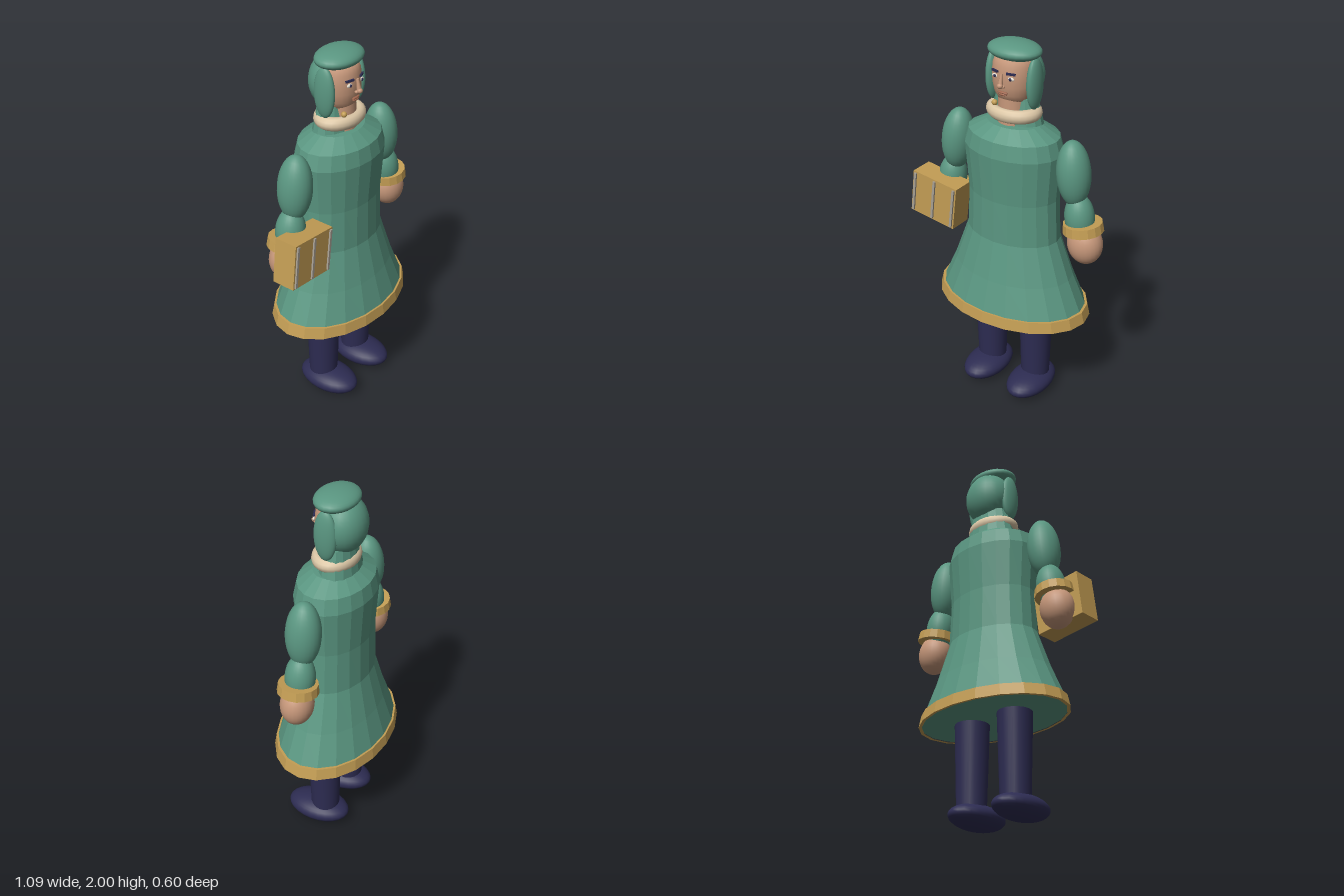
import * as THREE from 'three';

export function createModel() {
  const colours = {
    teal: 0x5a9681, gold: 0xc39d54, skin: 0xc6977a, cream: 0xdcc7a6,
    navy: 0x2d2c52, lip: 0xa0674f, white: 0xe4ddd0, strap: 0xa8a094,
  };
  const mat = {};
  for (const [name, hex] of Object.entries(colours)) {
    mat[name] = new THREE.MeshStandardMaterial({ color: hex });
    mat[name].name = name;
  }

  const model = new THREE.Group();
  model.name = 'figure';
  const body = new THREE.Group();
  body.name = 'body';
  body.position.x = 0.02;
  model.add(body);

  const add = (name, geo, colour, x = 0, y = 0, z = 0, parent = body) => {
    const mesh = new THREE.Mesh(geo, mat[colour]);
    mesh.name = name;
    mesh.position.set(x, y, z);
    parent.add(mesh);
    return mesh;
  };
  const ball = (name, colour, r, p, parent = body, seg = 24) =>
    add(name, new THREE.SphereGeometry(1, seg, Math.round(seg * 0.7)).scale(...r), colour, ...p, parent);
  const lathe = (points, seg) =>
    new THREE.LatheGeometry(points.map(([r, y]) => new THREE.Vector2(r, y)), seg);
  const faceted = (geo) => {
    const g = geo.toNonIndexed();
    g.computeVertexNormals();
    return g;
  };
  // Oval section, a little rounder towards the shoulders
  const oval = (geo) => {
    const p = geo.attributes.position;
    for (let i = 0; i < p.count; i++) p.setZ(i, p.getZ(i) * (0.67 + 0.06 * (p.getY(i) - 0.54)));
    return faceted(geo);
  };

  // Coat and hem band
  add('coat', oval(lathe([
    [0, 0.54], [0.428, 0.54], [0.418, 0.59], [0.342, 0.76], [0.265, 0.97], [0.254, 1.2],
    [0.273, 1.45], [0.25, 1.53], [0.15, 1.585], [0, 1.59],
  ], 20)), 'teal');
  add('hem', oval(lathe([[0.425, 0.535], [0.445, 0.535], [0.43, 0.595], [0.405, 0.595]], 20)), 'gold');

  // Legs, shoes and arms
  for (const [side, s] of [['left', 1], ['right', -1]]) {
    add(side + 'Leg', new THREE.CylinderGeometry(0.093, 0.077, 0.52, 20), 'navy', s * 0.145, 0.34, 0);
    ball(side + 'Shoe', 'navy', [0.112, 0.064, 0.177], [s * 0.145, 0.064, 0.04]);

    const tilt = s * 0.12;
    ball(side + 'UpperArm', 'teal', [0.085, 0.174, 0.09], [s * 0.353, 1.39, 0]).rotation.z = tilt * 0.8;
    ball(side + 'Forearm', 'teal', [0.076, 0.125, 0.077], [s * 0.395, 1.16, 0]).rotation.z = tilt;
    add(side + 'Cuff', faceted(new THREE.CylinderGeometry(0.1, 0.105, 0.048, 16)), 'gold',
      s * 0.417, 1.115, 0).rotation.z = tilt;
    ball(side + 'Hand', 'skin', [0.093, 0.11, 0.084], [s * 0.432, 1.022, 0]).rotation.z = tilt;
  }

  // Neck, hood base and ruff
  add('neck', new THREE.CylinderGeometry(0.075, 0.08, 0.16, 20), 'skin', 0, 1.65, 0.005);
  add('hoodBase', faceted(new THREE.CylinderGeometry(0.115, 0.155, 0.16, 16).scale(1, 1, 0.64)),
    'teal', 0, 1.64, -0.022);
  add('ruff', new THREE.TorusGeometry(0.115, 0.035, 12, 28).rotateX(Math.PI / 2).scale(1, 1, 0.78),
    'cream', 0, 1.64, 0);
  ball('clasp', 'gold', [0.015, 0.015, 0.015], [-0.064, 1.688, 0.075], body, 12);

  // Head and hood
  const head = new THREE.Group();
  head.name = 'head';
  body.add(head);
  add('face', lathe([
    [0, 1.69], [0.055, 1.694], [0.08, 1.71], [0.1, 1.745], [0.109, 1.79], [0.111, 1.84],
    [0.106, 1.89], [0.09, 1.93], [0, 1.95],
  ], 24).scale(1, 1, 0.93), 'skin', 0, 0, 0, head);
  ball('hoodCrown', 'teal', [0.143, 0.047, 0.108], [0, 1.951, -0.004], head);
  ball('hoodBack', 'teal', [0.132, 0.145, 0.115], [0, 1.822, -0.041], head);
  for (const s of [1, -1]) {
    ball('hoodSide', 'teal', [0.031, 0.133, 0.06], [s * 0.12, 1.803, 0], head);

    // Eyes and brows
    ball('eye', 'white', [0.02, 0.01, 0.008], [s * 0.045, 1.839, 0.093], head, 12);
    ball('pupil', 'navy', [0.008, 0.008, 0.005], [s * 0.045, 1.839, 0.099], head, 12);
    const brow = add('brow', new THREE.BoxGeometry(0.046, 0.01, 0.009), 'navy', s * 0.046, 1.864, 0.095, head);
    brow.rotation.set(0, s * 0.38, -s * 0.06);
    ball('nostril', 'skin', [0.009, 0.008, 0.01], [s * 0.011, 1.797, 0.108], head, 10);
  }

  // Nose and mouth
  const bridge = add('noseBridge', new THREE.CylinderGeometry(0.007, 0.013, 0.065, 10), 'skin', 0, 1.83, 0.111, head);
  bridge.rotation.x = -0.2;
  ball('noseTip', 'skin', [0.015, 0.014, 0.015], [0, 1.803, 0.119], head, 14);
  ball('upperLip', 'lip', [0.03, 0.006, 0.009], [0, 1.762, 0.097], head, 12);
  ball('lowerLip', 'lip', [0.024, 0.007, 0.01], [0, 1.752, 0.096], head, 12);

  // Box held in the right hand, with three straps on its front
  const box = new THREE.Group();
  box.name = 'box';
  box.position.set(-0.392, 1.07, 0.09);
  box.rotation.z = -0.12;
  model.add(box);
  add('boxBody', new THREE.BoxGeometry(0.282, 0.243, 0.126), 'gold', 0, 0, 0, box);
  for (const x of [-0.125, 0, 0.125])
    add('strap', new THREE.BoxGeometry(0.014, 0.226, 0.009), 'strap', x, 0, 0.0675, box);

  return model;
}
